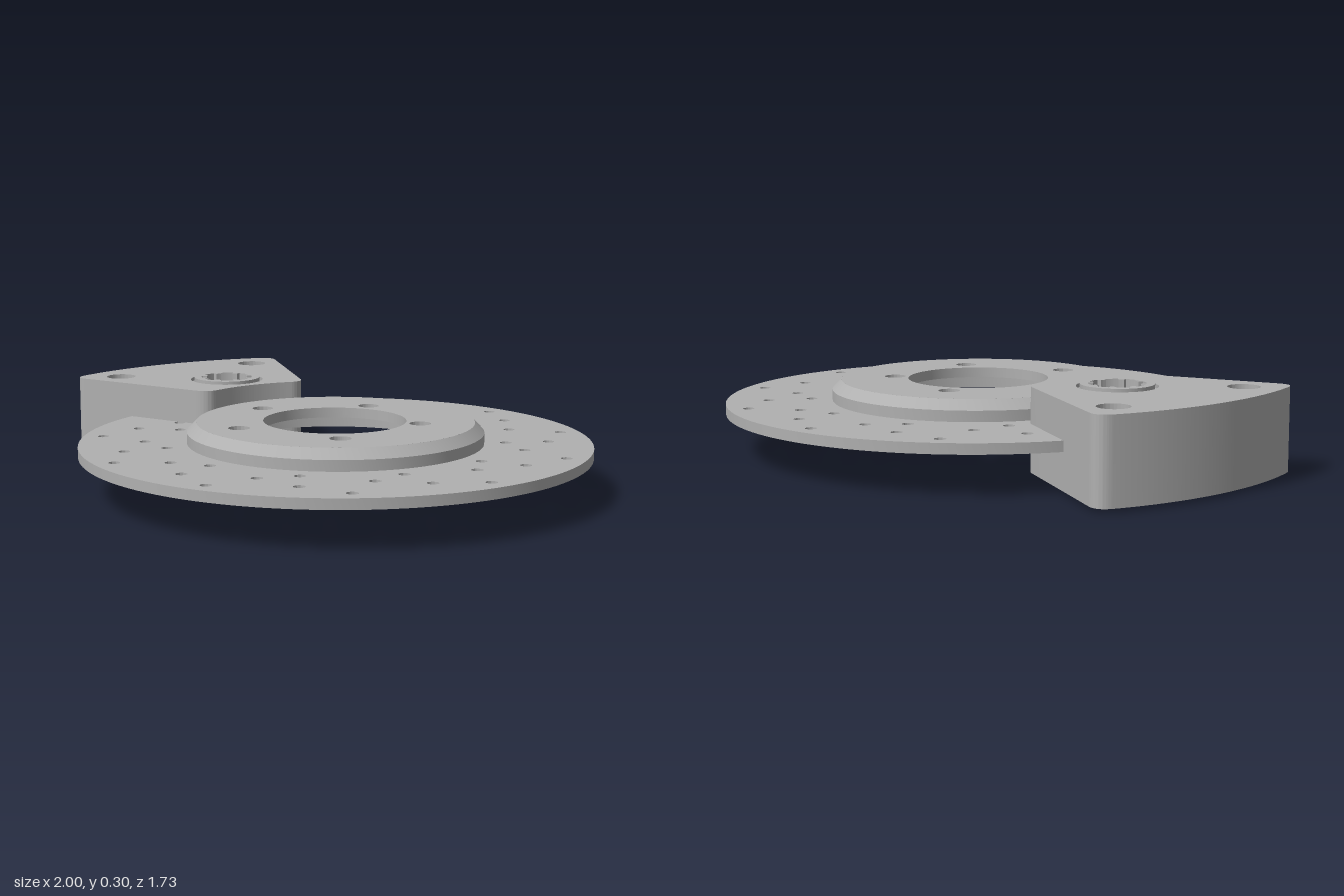
import * as THREE from 'three';
import { toCreasedNormals } from 'three/addons/utils/BufferGeometryUtils.js';

const CX = 0.133; // rotor axis

const steel = new THREE.MeshStandardMaterial({ color: 0xb0b0b0 });
steel.name = 'steel grey';

function addMesh(parent, name, geometry) {
  const mesh = new THREE.Mesh(toCreasedNormals(geometry, 0.5), steel);
  mesh.name = name;
  parent.add(mesh);
  return mesh;
}

function circle(Type, x, z, r) {
  const path = new Type();
  path.absarc(x, z, r, 0, Math.PI * 2, false);
  return path;
}

// Plate drawn in the x-z plane, filling bottom..top in y
function plate(shape, bottom, top) {
  const geo = new THREE.ExtrudeGeometry(shape, { depth: top - bottom, bevelEnabled: false, curveSegments: 72 });
  geo.rotateX(Math.PI / 2);
  geo.translate(0, top, 0);
  return geo;
}

// Annular sector around the rotor axis with rounded corners
function sectorShape(r0, r1, a0, a1, round) {
  const at = (r, a) => [CX + r * Math.cos(a), r * Math.sin(a)];
  const shape = new THREE.Shape();
  const d1 = round / r1, d0 = round / r0;
  shape.moveTo(...at(r0 + round, a0));
  shape.lineTo(...at(r1 - round, a0));
  shape.quadraticCurveTo(...at(r1, a0), ...at(r1, a0 + d1));
  shape.absarc(CX, 0, r1, a0 + d1, a1 - d1, false);
  shape.quadraticCurveTo(...at(r1, a1), ...at(r1 - round, a1));
  shape.lineTo(...at(r0 + round, a1));
  shape.quadraticCurveTo(...at(r0, a1), ...at(r0, a1 - d0));
  shape.absarc(CX, 0, r0, a1 - d0, a0 + d0, true);
  shape.quadraticCurveTo(...at(r0, a0), ...at(r0 + round, a0));
  return shape;
}

// Splined bore: alternating arcs of two radii
function splinePath(x, z, outer, inner, teeth) {
  const path = new THREE.Path();
  const step = (Math.PI * 2) / teeth;
  const points = [];
  for (let i = 0; i < teeth; i++) {
    for (const [r, from, to] of [[outer, -0.32, 0.32], [inner, 0.35, 0.65]]) {
      for (let k = 0; k <= 4; k++) {
        const a = (i + from + ((to - from) * k) / 4) * step;
        points.push(new THREE.Vector2(x + r * Math.cos(a), z + r * Math.sin(a)));
      }
    }
  }
  path.setFromPoints(points);
  path.closePath();
  return path;
}

export function createModel() {
  const model = new THREE.Group();
  model.name = 'brakeAssembly';
  const rad = THREE.MathUtils.degToRad;

  const rotor = new THREE.Group();
  rotor.name = 'rotor';
  model.add(rotor);

  // Friction disc with four staggered rows of drilled holes
  const disc = circle(THREE.Shape, CX, 0, 0.866);
  disc.holes.push(circle(THREE.Path, CX, 0, 0.443));
  const rows = [[0.798, -85.6], [0.72, -73.4], [0.643, -60.1], [0.574, -71.1]];
  for (const [r, start] of rows) {
    for (let i = 0; i < 11; i++) {
      const a = rad(start + (i * 360) / 11);
      disc.holes.push(circle(THREE.Path, CX + r * Math.cos(a), r * Math.sin(a), 0.019));
    }
  }
  addMesh(rotor, 'frictionDisc', plate(disc, 0.135, 0.17));

  // Raised hat wall with chamfered rim
  const profile = [[0.443, 0.169], [0.502, 0.169], [0.502, 0.207], [0.47, 0.24], [0.443, 0.206], [0.443, 0.169]];
  const wall = new THREE.LatheGeometry(profile.map(([r, y]) => new THREE.Vector2(r, y)), 96);
  wall.translate(CX, 0, 0);
  addMesh(rotor, 'hatWall', wall);

  // Hat face with centre opening and bolt holes
  const hat = circle(THREE.Shape, CX, 0, 0.47);
  hat.holes.push(circle(THREE.Path, CX - 0.003, 0, 0.242));
  for (const [x, z] of [[0.035, -0.29], [0.383, -0.145], [0.355, 0.23], [-0.01, 0.32], [-0.208, -0.003]]) {
    hat.holes.push(circle(THREE.Path, x, z, 0.036));
  }
  // The lower part stays inside the wall; only the face reaches the rim
  addMesh(rotor, 'hatFace', plate(hat, 0.205, 0.24));

  // Caliper body with mounting holes and piston bore
  const caliper = new THREE.Group();
  caliper.name = 'caliper';
  model.add(caliper);
  const [px, pz] = [-0.537, -0.158];
  const body = sectorShape(0.522, 1.131, rad(170), rad(216), 0.055);
  body.holes.push(circle(THREE.Path, -0.737, -0.499, 0.053));
  body.holes.push(circle(THREE.Path, -0.871, 0.063, 0.053));
  body.holes.push(circle(THREE.Path, px, pz, 0.132));
  addMesh(caliper, 'caliperBody', plate(body, 0.012, 0.29));

  // Seal recessed around the piston
  const seal = circle(THREE.Shape, px, pz, 0.132);
  seal.holes.push(circle(THREE.Path, px, pz, 0.119));
  addMesh(caliper, 'pistonSeal', plate(seal, 0.025, 0.277));

  // Piston with splined bore
  const piston = circle(THREE.Shape, px, pz, 0.12);
  piston.holes.push(splinePath(px, pz, 0.093, 0.077, 8));
  addMesh(caliper, 'piston', plate(piston, 0, 0.299));

  return model;
}
